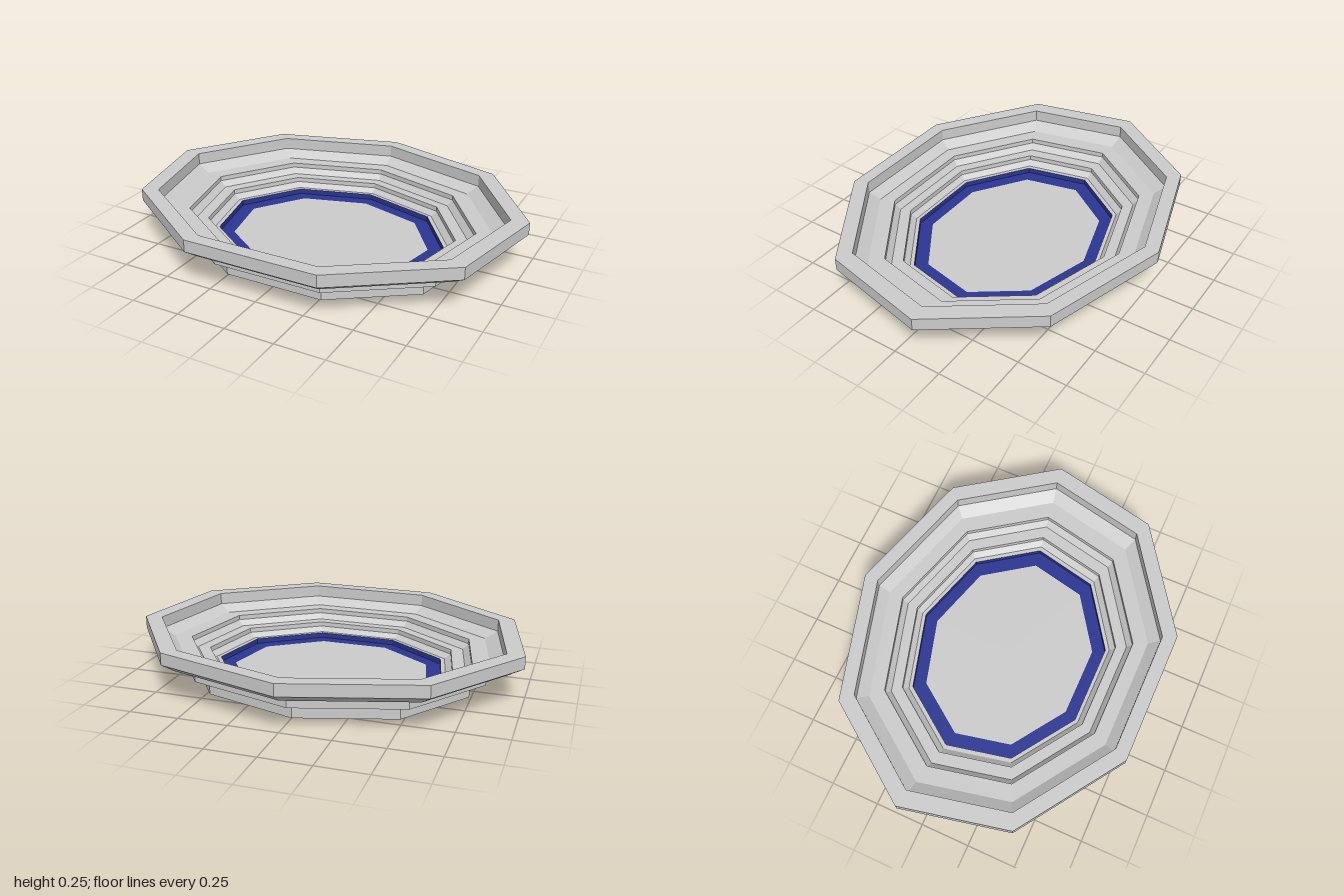
import * as THREE from 'three';

const SIDES = 9, DEPTH = 0.808, SHIFT = 0.025;

// Nine-sided turned surface, flattened in z, with one corner pointing back
function turned(name, profile, color) {
  const points = profile.map(([r, y]) => new THREE.Vector2(r, y));
  const geometry = new THREE.LatheGeometry(points, SIDES, Math.PI)
    .scale(1, 1, DEPTH)
    .translate(0, 0, SHIFT);
  const material = new THREE.MeshStandardMaterial({ color, flatShading: true, side: THREE.DoubleSide });
  const mesh = new THREE.Mesh(geometry, material);
  mesh.name = name;
  return mesh;
}

export function createModel() {
  const group = new THREE.Group();
  group.name = 'steppedBasin';

  // Underside, two outer steps and the chamfered rim
  group.add(turned('outerShell', [
    [0, 0], [0.752, 0], [0.752, 0.078],
    [0.833, 0.078], [0.833, 0.15],
    [0.94, 0.15], [1.015, 0.192], [1.015, 0.255],
  ], 0xcccccc));

  // Rim top, then three inner steps, each a wall, a bevel and a ledge
  group.add(turned('innerSteps', [
    [1.015, 0.255], [0.924, 0.255], [0.924, 0.193], [0.855, 0.155],
    [0.762, 0.155], [0.762, 0.13], [0.73, 0.1],
    [0.663, 0.1], [0.663, 0.075], [0.629, 0.05],
    [0.605, 0.05],
  ], 0xcccccc));

  // Blue border around the floor
  group.add(turned('blueBorder', [[0.605, 0.05], [0.605, 0.022], [0.525, 0.022]], 0x2a3591));

  // Floor of the basin
  group.add(turned('floor', [[0.525, 0.022], [0, 0.022]], 0xcccccc));

  return group;
}
